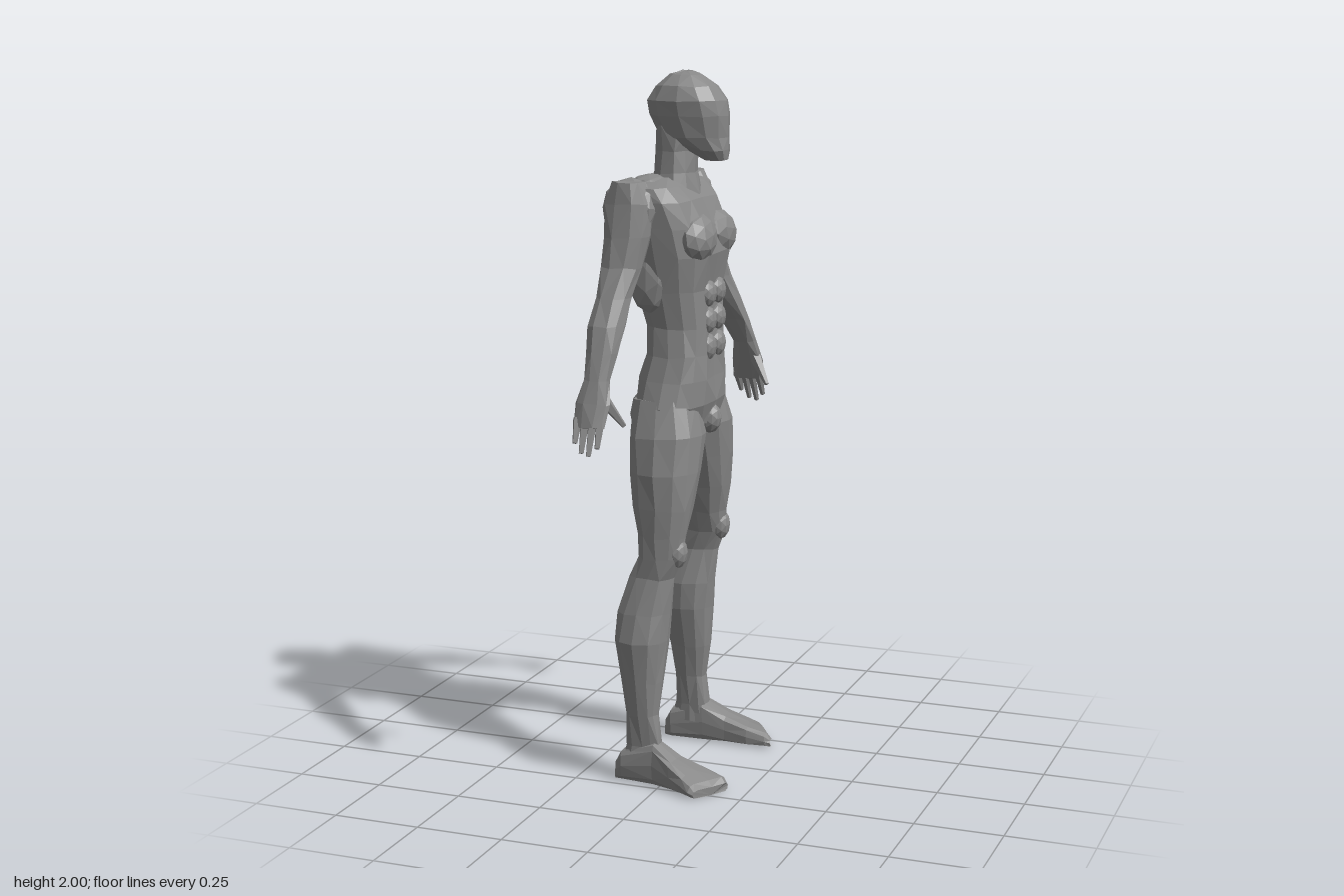
import * as THREE from 'three';

const grey = new THREE.MeshStandardMaterial({ color: 0x888888 });
grey.name = 'clay grey';

// small seeded random for the faceted, uneven surface
let seed = 7;
const rand = () => ((seed = (seed * 16807) % 2147483647) / 2147483647) - 0.5;

function addMesh(group, name, geometry) {
  const geo = geometry.index ? geometry.toNonIndexed() : geometry;
  geo.computeVertexNormals();
  const mesh = new THREE.Mesh(geo, grey);
  mesh.name = name;
  group.add(mesh);
  return mesh;
}

// closed loft through horizontal rings [y, x0, x1, z0, z1], given bottom to top
function loft(rings, { side = 1, sides = 12, square = 0.85, rough = 0.006, shape } = {}) {
  const pos = [], index = [];
  const n = rings.length;
  rings.forEach(([y, x0, x1, z0, z1]) => {
    for (let j = 0; j < sides; j++) {
      const t = (j / sides) * Math.PI * 2;
      const bend = (v) => Math.sign(v) * Math.pow(Math.abs(v), square);
      const p = new THREE.Vector3(
        (x0 + x1) / 2 + ((x1 - x0) / 2) * bend(Math.cos(t)) + rand() * rough,
        y + rand() * rough,
        side * (z0 + z1) / 2 + ((z1 - z0) / 2) * bend(Math.sin(t)) + rand() * rough);
      if (shape) shape(p);
      pos.push(p.x, p.y, p.z);
    }
  });
  for (let i = 0; i < n - 1; i++) {
    for (let j = 0; j < sides; j++) {
      const k = (j + 1) % sides;
      const a = i * sides + j, b = i * sides + k, c = a + sides, d = b + sides;
      if ((i + j) % 2) index.push(a, c, b, b, c, d);
      else index.push(a, c, d, a, d, b);
    }
  }
  // end caps as fans
  for (let j = 1; j < sides - 1; j++) {
    const top = (n - 1) * sides;
    index.push(0, j, j + 1, top, top + j + 1, top + j);
  }
  const geo = new THREE.BufferGeometry();
  geo.setAttribute('position', new THREE.Float32BufferAttribute(pos, 3));
  geo.setIndex(index);
  return geo;
}

// faceted muscle mass
function muscle(group, name, [x, y, z], [sx, sy, sz], tiltX = 0, tiltZ = 0) {
  const mesh = addMesh(group, name, new THREE.IcosahedronGeometry(1, 1).scale(sx, sy, sz));
  mesh.position.set(x, y, z);
  mesh.rotation.set(tiltX, 0, tiltZ);
}

// tapered digit between two points
function digit(group, name, from, to, r0, r1) {
  const a = new THREE.Vector3(...from), b = new THREE.Vector3(...to);
  const mesh = addMesh(group, name, new THREE.CylinderGeometry(r1, r0, a.distanceTo(b), 5));
  mesh.position.copy(a).add(b).multiplyScalar(0.5);
  mesh.quaternion.setFromUnitVectors(new THREE.Vector3(0, 1, 0), b.sub(a).normalize());
}

const torsoRings = [
  [0.98, -0.06, 0.04, -0.03, 0.03],
  [1.02, -0.11, 0.07, -0.13, 0.13],
  [1.08, -0.125, 0.085, -0.185, 0.185],
  [1.15, -0.12, 0.09, -0.165, 0.165],
  [1.22, -0.10, 0.09, -0.147, 0.147],
  [1.30, -0.10, 0.085, -0.142, 0.142],
  [1.40, -0.13, 0.085, -0.155, 0.155],
  [1.50, -0.165, 0.10, -0.172, 0.172],
  [1.58, -0.175, 0.09, -0.185, 0.185],
  [1.65, -0.17, 0.055, -0.20, 0.20],
  [1.69, -0.15, 0.015, -0.205, 0.205],
  [1.71, -0.12, -0.02, -0.10, 0.10],
];
const neckRings = [
  [1.66, -0.12, 0.035, -0.09, 0.09],
  [1.72, -0.09, 0.02, -0.074, 0.074],
  [1.78, -0.085, 0.02, -0.07, 0.07],
  [1.85, -0.09, 0.03, -0.07, 0.07],
];
const headRings = [
  [1.758, 0.05, 0.115, -0.03, 0.03],
  [1.785, 0.00, 0.12, -0.055, 0.055],
  [1.82, -0.075, 0.118, -0.073, 0.073],
  [1.88, -0.11, 0.12, -0.085, 0.085],
  [1.92, -0.115, 0.112, -0.09, 0.09],
  [1.96, -0.09, 0.085, -0.075, 0.075],
  [1.99, -0.05, 0.04, -0.042, 0.042],
  [2.0, -0.02, 0.01, -0.015, 0.015],
];
const legRings = [
  [0.06, -0.125, 0.005, 0.165, 0.23],
  [0.11, -0.11, -0.005, 0.165, 0.225],
  [0.20, -0.11, -0.015, 0.16, 0.235],
  [0.30, -0.125, -0.005, 0.14, 0.247],
  [0.42, -0.145, 0.008, 0.115, 0.26],
  [0.50, -0.14, 0.015, 0.115, 0.248],
  [0.60, -0.105, 0.025, 0.135, 0.222],
  [0.66, -0.08, 0.05, 0.13, 0.222],
  [0.72, -0.085, 0.055, 0.11, 0.224],
  [0.80, -0.10, 0.07, 0.085, 0.225],
  [0.90, -0.115, 0.08, 0.045, 0.226],
  [1.00, -0.125, 0.085, 0.008, 0.212],
  [1.10, -0.115, 0.06, 0.02, 0.18],
];
// along the foot from heel to toe: [x, -height, 0, inner, outer]
const footRings = [
  [-0.142, -0.05, 0, 0.18, 0.215],
  [-0.12, -0.09, 0, 0.165, 0.23],
  [-0.02, -0.125, 0, 0.165, 0.24],
  [0.05, -0.085, 0, 0.168, 0.265],
  [0.12, -0.06, 0, 0.165, 0.285],
  [0.175, -0.042, 0, 0.175, 0.3],
  [0.19, -0.025, 0, 0.185, 0.295],
];
// arm centre line and radii: [y, cx, cz, rx, rz]
const armLine = [
  [1.07, -0.13, 0.415, 0.046, 0.016],
  [1.13, -0.125, 0.395, 0.05, 0.022],
  [1.19, -0.12, 0.372, 0.036, 0.024],
  [1.26, -0.12, 0.34, 0.045, 0.036],
  [1.33, -0.12, 0.305, 0.052, 0.048],
  [1.40, -0.115, 0.265, 0.05, 0.05],
  [1.48, -0.105, 0.225, 0.058, 0.05],
  [1.56, -0.10, 0.205, 0.068, 0.053],
  [1.65, -0.10, 0.188, 0.072, 0.052],
  [1.71, -0.10, 0.195, 0.045, 0.037],
];

export function createModel() {
  seed = 7;
  const body = new THREE.Group();
  body.name = 'standing figure';

  // torso with spine and breastbone grooves
  addMesh(body, 'torso', loft(torsoRings, {
    sides: 16, square: 0.75,
    shape: (p) => {
      if (p.y > 1.15 && p.y < 1.7 && Math.abs(p.z) < 0.02) p.x += p.x < 0 ? 0.025 : -0.012;
    },
  }));
  addMesh(body, 'neck', loft(neckRings, { sides: 10 }));
  addMesh(body, 'head', loft(headRings, { sides: 12, rough: 0.004 }));
  muscle(body, 'groin', [0.065, 1.03, 0], [0.035, 0.045, 0.035]);

  for (const side of [1, -1]) {
    const label = side > 0 ? 'right' : 'left';

    // trunk muscles
    muscle(body, label + 'Chest', [0.06, 1.55, side * 0.08], [0.048, 0.065, 0.085], side * 0.2, 0.2);
    muscle(body, label + 'ShoulderBlade', [-0.14, 1.57, side * 0.1], [0.045, 0.11, 0.075], side * 0.15);
    muscle(body, label + 'Flank', [-0.06, 1.46, side * 0.125], [0.07, 0.12, 0.045], side * -0.15);
    muscle(body, label + 'Buttock', [-0.07, 1.05, side * 0.085], [0.065, 0.085, 0.08]);
    muscle(body, label + 'Trapezius', [-0.08, 1.685, side * 0.09], [0.06, 0.035, 0.08], side * 0.1);
    for (let i = 0; i < 3; i++) {
      muscle(body, label + 'Abdomen', [0.075, 1.24 + i * 0.075, side * 0.038], [0.022, 0.038, 0.036]);
    }

    // leg and foot
    const leg = new THREE.Group();
    leg.name = label + 'Leg';
    body.add(leg);
    addMesh(leg, 'leg', loft(legRings, { side, sides: 12 }));
    muscle(leg, 'knee', [0.035, 0.675, side * 0.175], [0.028, 0.045, 0.036]);
    const foot = loft(footRings, {
      side, sides: 12, square: 0.55, rough: 0.003,
      shape: (p) => {
        p.x = Math.min(p.x, 0);
        p.y -= Math.max(0, p.y) * 3.6 * Math.max(0, Math.abs(p.z) - 0.2);
      },
    });
    addMesh(leg, 'foot', foot.rotateZ(Math.PI / 2).rotateY(Math.PI).scale(1, 1, 1)
      .applyMatrix4(new THREE.Matrix4().makeRotationX(Math.PI))
      .applyMatrix4(new THREE.Matrix4().makeRotationZ(0)));

    // arm: the left one swings forward, the right one hangs back
    const arm = new THREE.Group();
    arm.name = label + 'Arm';
    body.add(arm);
    const swing = (y) => side > 0 ? 0
      : 0.03 + 0.135 * THREE.MathUtils.clamp((1.6 - y) / 0.42, 0, 1);
    const armRings = armLine.map(([y, cx, cz, rx, rz]) =>
      [y, cx + swing(y) - rx, cx + swing(y) + rx, cz - rz, cz + rz]);
    addMesh(arm, 'arm', loft(armRings, { side, sides: 10 }));
    muscle(arm, 'shoulder', [-0.1 + swing(1.65), 1.635, side * 0.185], [0.08, 0.085, 0.052], side * -0.15);

    // hand digits
    const s = swing(1);
    for (let i = 0; i < 4; i++) {
      const x = -0.163 + i * 0.022 + s;
      const drop = [0.03, 0.006, 0, 0.02][i];
      digit(arm, 'finger', [x, 1.09, side * 0.41], [x + 0.004, 0.997 + drop, side * (0.452 - drop * 0.4)], 0.013, 0.007);
    }
    digit(arm, 'thumb', [-0.1 + s, 1.145, side * 0.388], [-0.05 + s, 1.065, side * 0.355], 0.019, 0.007);
  }
  return body;
}
